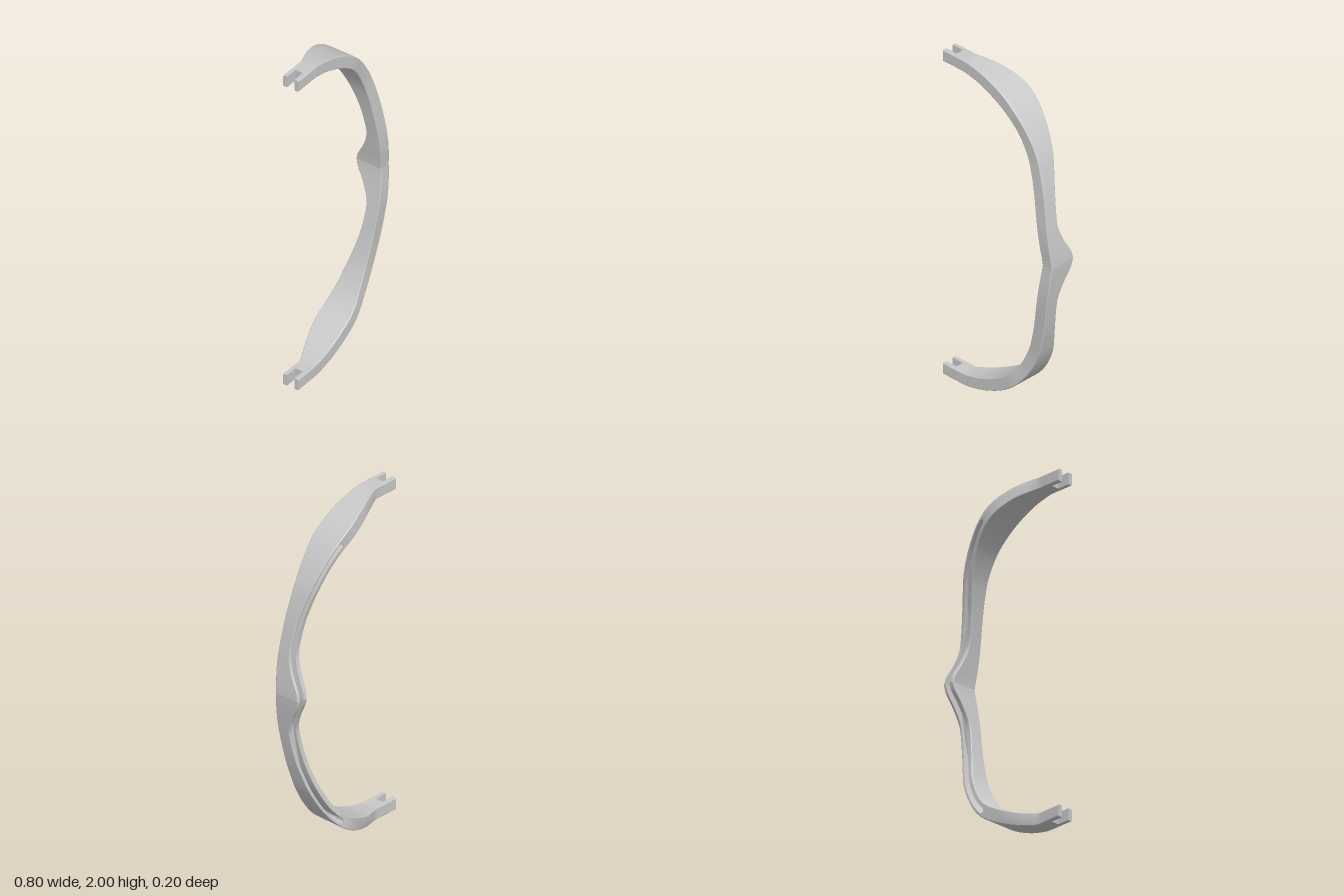
import * as THREE from 'three';
import { toCreasedNormals } from 'three/addons/utils/BufferGeometryUtils.js';

// Half of the bow, tip to middle: outer x, y, inner x, y, back z, front z
const STATIONS = [
  [-0.325, 2, -0.325, 1.932, -0.015, 0.083],
  [-0.25, 2, -0.258, 1.932, -0.015, 0.083],
  [-0.2, 1.995, -0.215, 1.926, -0.03, 0.083],
  [-0.095, 1.968, -0.122, 1.902, -0.069, 0.083],
  [0.026, 1.915, -0.013, 1.852, -0.098, 0.083],
  [0.127, 1.84, 0.077, 1.792, -0.094, 0.083],
  [0.212, 1.735, 0.148, 1.708, -0.074, 0.074],
  [0.275, 1.62, 0.206, 1.599, -0.05, 0.071],
  [0.311, 1.515, 0.239, 1.502, -0.024, 0.077],
  [0.34, 1.406, 0.265, 1.395, 0, 0.085],
  [0.366, 1.27, 0.29, 1.265, 0.015, 0.095],
  [0.377, 1.2, 0.302, 1.195, 0.009, 0.098],
  [0.388, 1.12, 0.315, 1.115, -0.022, 0.097],
  [0.396, 1.05, 0.326, 1.045, -0.061, 0.092],
  [0.4, 1, 0.331, 1, -0.074, 0.089],
];
const GROOVE_START = 4.75; // station where the rear groove begins
const GROOVE_ROUND = 0.13; // length of its rounded end, in stations
const GROOVE_FLOOR = 0.03;
const FILLET = 0.006;

// Points of a quarter-round corner: distances in from the two faces, 0 to FILLET
const CORNER = [0, 1, 2, 3, 4].map((i) => {
  const a = (i / 4) * Math.PI / 2;
  return [FILLET * (1 - Math.sin(a)), FILLET * (1 - Math.cos(a))];
});
const CORNER_BACK = [...CORNER].reverse();

const spline = (pick) => new THREE.CatmullRomCurve3(
  STATIONS.map((s) => new THREE.Vector3(...pick(s))), false, 'catmullrom', 0.5);

// Cross-section with rounded corners and a groove in the back
function section(outer, inner, station) {
  const zb = outer.z, zf = inner.z;
  const width = Math.hypot(outer.x - inner.x, outer.y - inner.y);
  const g = THREE.MathUtils.clamp((station - GROOVE_START) / GROOVE_ROUND, 0, 1);
  const half = 0.21 * Math.sqrt(1 - (1 - g) ** 2);
  const floor = g > 0 ? Math.max(GROOVE_FLOOR, zb) : zb;
  const profile = [
    ...CORNER.map(([u, z]) => [1 - u / width, zf - z]),
    ...CORNER_BACK.map(([u, z]) => [1 - u / width, zb + z]),
    [0.58 + half, zb], [0.58 + half, floor], [0.58 - half, floor], [0.58 - half, zb],
    ...CORNER.map(([u, z]) => [u / width, zb + z]),
    ...CORNER_BACK.map(([u, z]) => [u / width, zf - z]),
  ];
  return profile.map(([u, z]) => [
    THREE.MathUtils.lerp(inner.x, outer.x, u),
    THREE.MathUtils.lerp(inner.y, outer.y, u), z]);
}

function bowGeometry() {
  const outer = spline((s) => [s[0], s[1], s[4]]);
  const inner = spline((s) => [s[2], s[3], s[5]]);
  const last = STATIONS.length - 1;
  const steps = [];
  for (let i = 0; i <= last * 6; i++) steps.push(i / 6);
  for (const f of [0, 0.03, 0.12, 0.3, 0.6, 1]) steps.push(GROOVE_START + 0.0005 + f * GROOVE_ROUND);
  steps.sort((a, b) => a - b);

  // Upper half, then its mirror image below the middle
  const rings = steps.map((s) => section(outer.getPoint(s / last), inner.getPoint(s / last), s));
  const lower = rings.slice(0, -1).reverse().map((r) => r.map(([x, y, z]) => [x, 2 - y, z]));
  const all = [...rings, ...lower];

  const n = all[0].length;
  const index = [];
  for (let i = 0; i < all.length - 1; i++) {
    for (let j = 0; j < n; j++) {
      const a = i * n + j, b = i * n + (j + 1) % n;
      index.push(a, a + n, b, b, a + n, b + n);
    }
  }
  // End caps
  const end = (all.length - 1) * n;
  for (let j = 1; j < n - 1; j++) {
    index.push(0, j, j + 1, end, end + j + 1, end + j);
  }
  const geometry = new THREE.BufferGeometry();
  geometry.setAttribute('position', new THREE.Float32BufferAttribute(all.flat(2), 3));
  geometry.setIndex(index);
  return toCreasedNormals(geometry, 0.19);
}

// Prong extruded along x, rounded on the two edges away from the slot
function prongGeometry(slotZ, outerZ) {
  const dir = Math.sign(outerZ - slotZ), h = 0.034;
  const points = [
    [slotZ, -h],
    ...CORNER.map(([u, v]) => [outerZ - dir * u, -h + v]),
    ...CORNER_BACK.map(([u, v]) => [outerZ - dir * u, h - v]),
    [slotZ, h],
  ];
  const shape = new THREE.Shape(points.map(([z, y]) => new THREE.Vector2(-z, y)));
  return new THREE.ExtrudeGeometry(shape, { depth: 0.075, bevelEnabled: false }).rotateY(Math.PI / 2);
}

export function createModel() {
  const group = new THREE.Group();
  group.name = 'bow';
  const grey = new THREE.MeshStandardMaterial({ color: 0xc8c8c8 });
  grey.name = 'grey';

  const body = new THREE.Mesh(bowGeometry(), grey);
  body.name = 'bowBody';
  group.add(body);

  // Forked tips with an open slot between two prongs
  for (const [tip, y] of [['upper', 1.966], ['lower', 0.034]]) {
    for (const [side, slotZ, outerZ] of [['Back', 0.01, -0.015], ['Front', 0.057, 0.083]]) {
      const prong = new THREE.Mesh(prongGeometry(slotZ, outerZ), grey);
      prong.position.set(-0.4, y, 0);
      prong.name = `${tip}${side}Prong`;
      group.add(prong);
    }
  }
  return group;
}
